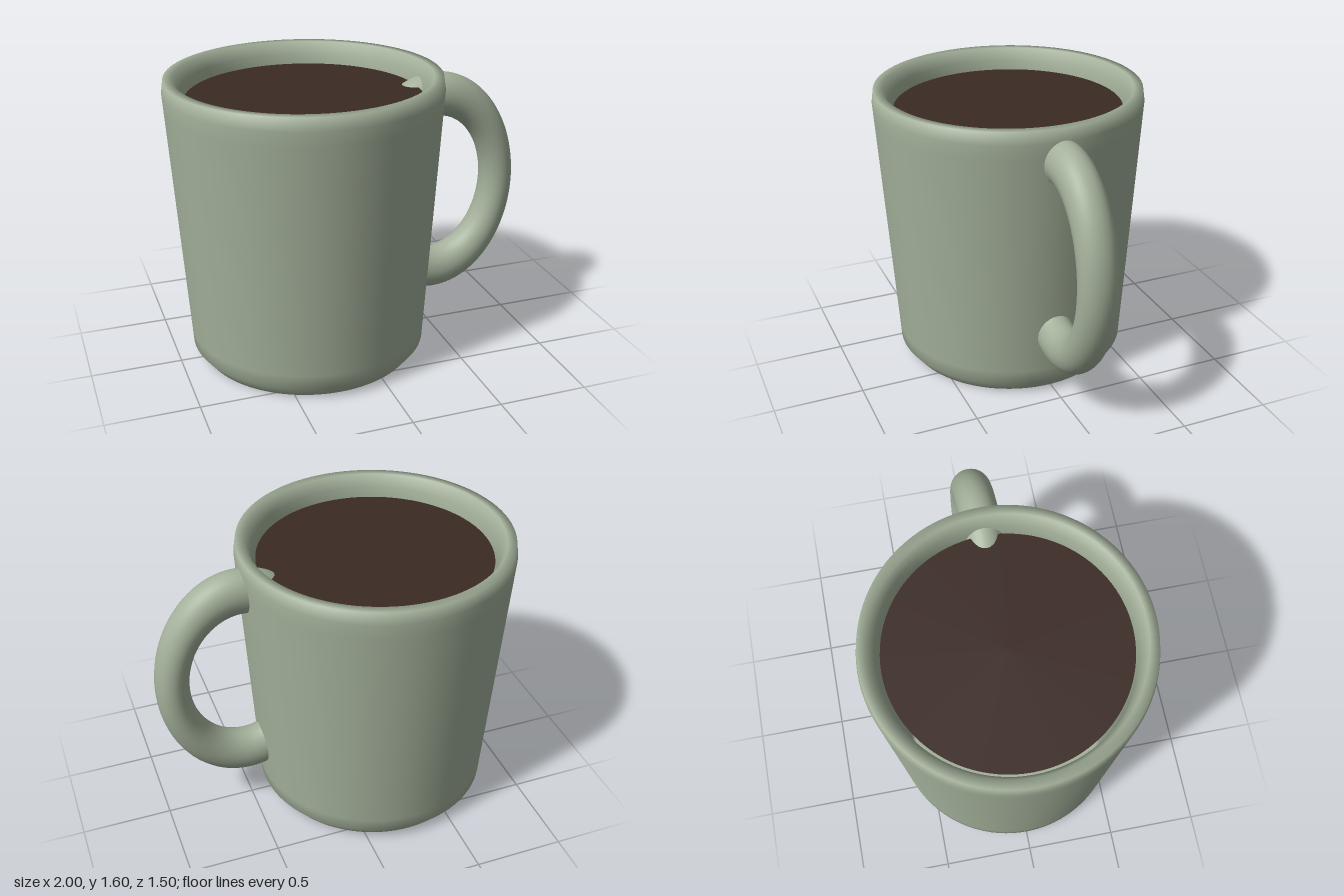
import * as THREE from 'three';

const CUP_X = -0.25;

export function createModel() {
  const model = new THREE.Group();
  model.name = 'mug';

  const glaze = new THREE.MeshStandardMaterial({ color: 0xa3b09a });
  const coffee = new THREE.MeshStandardMaterial({ color: 0x3b2a24 });

  const add = (name, geometry, material) => {
    const mesh = new THREE.Mesh(geometry, material);
    mesh.name = name;
    model.add(mesh);
    return mesh;
  };

  // Cup wall: base, chamfered foot, tapered side, soft rim, inner wall and floor
  const profile = [
    [0, 0], [0.6, 0], [0.605, 0], [0.66, 0.07],
    [0.665, 0.15], [0.745, 1.45], [0.75, 1.53], [0.74, 1.6],
    [0.69, 1.6], [0.66, 1.53], [0.652, 1.45],
    [0.58, 0.14], [0.56, 0.12], [0, 0.12],
  ].map(([r, y]) => new THREE.Vector2(r, y));
  add('cup', new THREE.LatheGeometry(profile, 96), glaze).position.x = CUP_X;

  // Liquid surface, just below the rim
  const liquid = add('liquid', new THREE.CircleGeometry(0.637, 96), coffee);
  liquid.rotation.x = -Math.PI / 2;
  liquid.position.set(CUP_X, 1.48, 0);

  // Handle: a ring stretched upright, its ends sunk into the cup
  const reach = THREE.MathUtils.degToRad(125);
  const ring = new THREE.TorusGeometry(0.455, 0.107, 32, 96, reach * 2);
  ring.rotateZ(-reach);
  ring.scale(0.865, 1.165, 1);
  add('handle', ring, glaze).position.set(0.513, 0.883, 0);

  return model;
}
